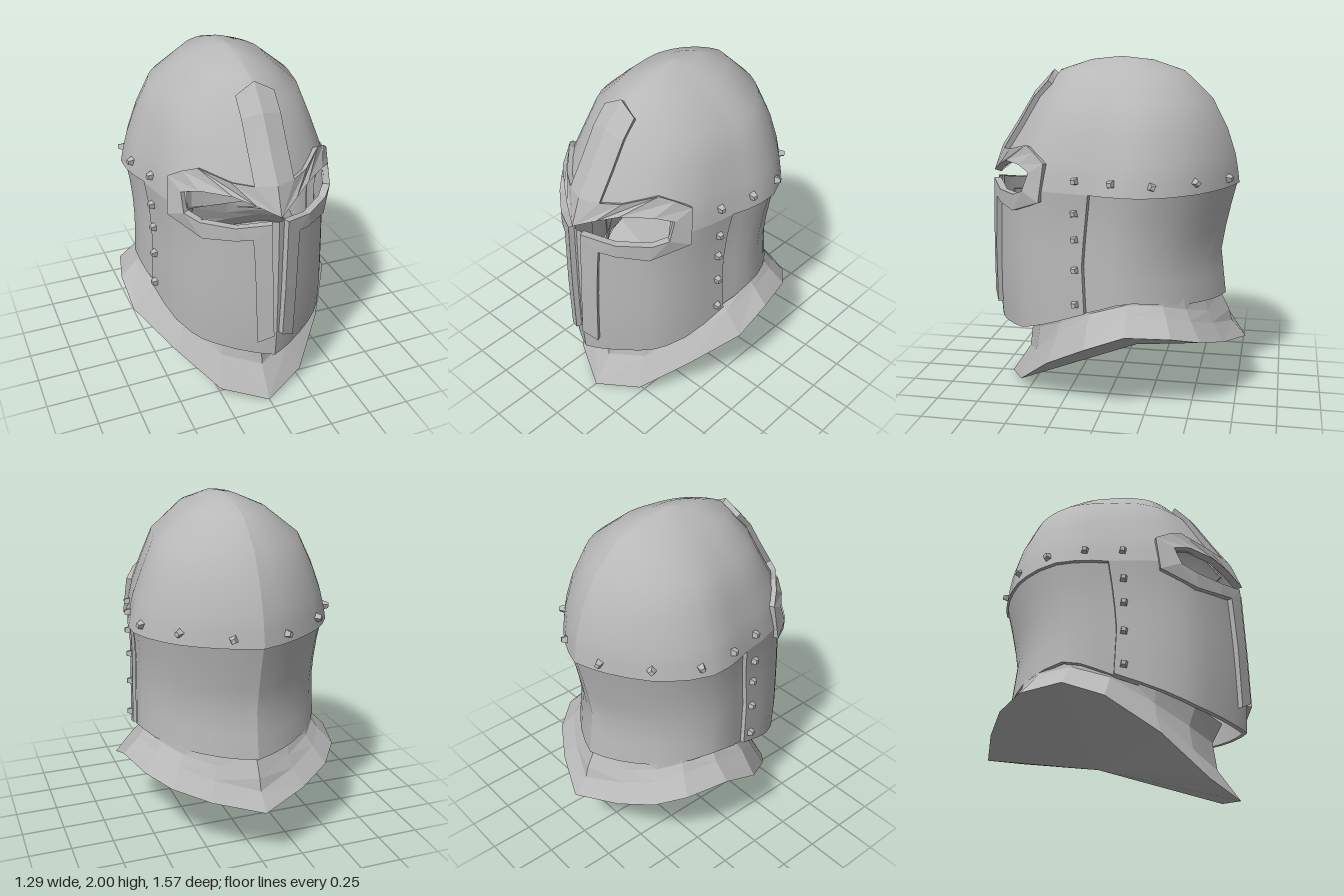
import * as THREE from 'three';

const steel = new THREE.MeshStandardMaterial({ color: 0xb8b8b8, side: THREE.DoubleSide });
steel.name = 'steel';

// Plan of one half of the helmet, front ridge to back ridge: x, z
const PLAN = [[0, .74], [.05, .72], [.1, .695], [.2, .635], [.3, .56], [.36, .505], [.41, .445],
  [.47, .335], [.505, .21], [.53, .06], [.56, -.03], [.578, -.13], [.578, -.24], [.53, -.36],
  [.47, -.45], [.4, -.53], [.3, -.605], [.2, -.665], [.1, -.71], [0, -.74]];
const LAST = PLAN.length - 1, EYE_END = 6, STEP = 9;

// Height, half width, front z, back z
const PROFILE = [[.38, .57, .735, -.70], [.6, .57, .75, -.68], [.89, .56, .745, -.645],
  [1.1, .56, .74, -.685], [1.29, .585, .735, -.73], [1.45, .545, .675, -.70], [1.6, .49, .575, -.65],
  [1.77, .415, .47, -.56], [1.92, .23, .33, -.40], [1.98, .09, .15, -.22], [2, 0, -.03, -.03]];

// Lower and upper edge of the eye slit for each plan column
const LIDS = [[1.27, 1.3], [1.262, 1.325], [1.25, 1.355], [1.232, 1.395], [1.23, 1.4],
  [1.24, 1.395], [1.27, 1.37]];
const lid = i => LIDS[i] || [1.28, 1.36];

// Bottom edge: z, y
const HEM = [[-.74, .605], [-.4, .66], [-.2, .685], [.07, .59], [.5, .435], [.74, .385]];

function lookup(table, key) {
  let i = 0;
  while (i < table.length - 2 && key > table[i + 1][0]) i++;
  const a = table[i], b = table[i + 1];
  const t = THREE.MathUtils.clamp((key - a[0]) / (b[0] - a[0]), 0, 1);
  return a.map((v, k) => v + (b[k] - v) * t);
}
const hem = i => lookup(HEM, PLAN[i][1])[1];

// Point of the shell in plan column i at height y; the plan gets rounder towards the crown
function shell(i, y, inset = 0) {
  const [, w, zf, zb] = lookup(PROFILE, y);
  let X = PLAN[i][0] / .58, Z = PLAN[i][1] / .74;
  const k = THREE.MathUtils.clamp((y - 1.3) / .7, 0, 1) * .6, a = Math.atan2(X, Z);
  X += (Math.sin(a) - X) * k;
  Z += (Math.cos(a) - Z) * k;
  const f = zf - inset, b = zb + inset * .5;
  return [X * Math.max(w - inset, 0), y, (f + b) / 2 + Z * (f - b) / 2];
}

// Depth of the front surface at x, y
function frontZ(x, y) {
  const pts = PLAN.slice(0, 12).map((_, i) => shell(i, y));
  return lookup(pts, x)[2];
}

// Point lifted off the front surface along its normal
function lifted([x, y], h) {
  const e = .02, z = frontZ(x, y);
  const nx = x < .01 ? 0 : -(frontZ(x + e, y) - frontZ(x - e, y)) / (2 * e);
  const ny = -(frontZ(x, y + e) - frontZ(x, y - e)) / (2 * e);
  const n = new THREE.Vector3(nx, ny, 1).normalize();
  return [x + n.x * h, y + n.y * h, z + n.z * h];
}

// Sheet through rows of points, built on both sides of the helmet
function sheet(group, name, rows, flat = false, skip = () => false) {
  for (const s of [1, -1]) {
    const n = rows[0].length, index = [];
    for (let r = 0; r < rows.length - 1; r++) for (let c = 0; c < n - 1; c++) {
      if (skip(r, c)) continue;
      const a = r * n + c, b = a + 1, e = a + n, d = e + 1;
      index.push(...(s > 0 ? [a, b, d, a, d, e] : [a, d, b, a, e, d]));
    }
    let g = new THREE.BufferGeometry();
    g.setAttribute('position', new THREE.Float32BufferAttribute(
      rows.flat().flatMap(p => [p[0] * s, p[1], p[2]]), 3));
    g.setIndex(index);
    if (flat) g = g.toNonIndexed();
    g.computeVertexNormals();
    const m = new THREE.Mesh(g, steel);
    m.name = (s > 0 ? 'left ' : 'right ') + name;
    group.add(m);
  }
}

const range = (a, b) => Array.from({ length: b - a + 1 }, (_, k) => a + k);
const FRACTIONS = [0, .2, .4, .6, .8, 1];
const lowerRows = (cols, inset) => FRACTIONS.map(t =>
  cols.map(i => shell(i, hem(i) + (lid(i)[0] - hem(i)) * t, inset)));

function makeShell(group) {
  const all = range(0, LAST), front = range(0, STEP), back = range(STEP - 1, LAST);

  // Face plate
  sheet(group, 'face plate', lowerRows(front, 0));

  // Crown with the eye slit left open
  const crown = [all.map(i => shell(i, lid(i)[0])), all.map(i => shell(i, lid(i)[1]))];
  for (const y of [1.45, 1.6, 1.77, 1.92, 1.98, 2]) crown.push(all.map(i => shell(i, y)));
  sheet(group, 'crown', crown, false, (r, c) => r === 0 && c < EYE_END);

  // Neck plate tucked under the crown and face plate
  sheet(group, 'neck plate', lowerRows(back, .025));

  // Plate thickness along the free edges
  sheet(group, 'face plate hem', [.03, 0].map(d => front.map(i => shell(i, hem(i), d))), true);
  sheet(group, 'neck plate hem', [.055, .025].map(d => back.map(i => shell(i, hem(i), d))), true);
  const rim = range(STEP, LAST);
  sheet(group, 'crown edge', [.03, 0].map(d => rim.map(i => shell(i, 1.28, d))), true);
  sheet(group, 'face plate edge', FRACTIONS.map(t => {
    const y = hem(STEP) + (1.28 - hem(STEP)) * t;
    return [shell(STEP, y), shell(STEP, y, .03)];
  }), true);
}

// Raised cross-shaped trim: inner and outer edge pairs from the brow bar, round the eye, to the chin
function makeTrim(group) {
  const pairs = [
    [[0, 1.9], [.1, 1.84]], [[0, 1.77], [.1, 1.75]], [[0, 1.6], [.1, 1.6]], [[0, 1.45], [.1, 1.52]],
    [[0, 1.3], [.1, 1.45]], [[.1, 1.355], [.2, 1.46]], [[.2, 1.395], [.33, 1.505]],
    [[.34, 1.4], [.39, 1.475]], [[.41, 1.37], [.445, 1.43]], [[.41, 1.27], [.465, 1.22]],
    [[.35, 1.237], [.34, 1.14]], [[.2, 1.232], [.2, 1.155]], [[.035, 1.268], [.12, 1.17]],
    [[.03, 1.05], [.113, 1.05]], [[.025, .85], [.106, .85]], [[.015, .55], [.095, .5]]];
  const edge = (k, h) => pairs.map(p => lifted(p[k], h));
  const rows = [edge(0, -.01), edge(0, .032), edge(1, .032), edge(1, -.01)];
  sheet(group, 'face trim', rows, true);
  const end = pairs.length - 1, [bi, ti, to, bo] = rows;
  sheet(group, 'trim lower end', [[bi[end], bo[end]], [ti[end], to[end]]], true);
  sheet(group, 'trim upper end', [[bo[0], bi[0]], [to[0], ti[0]]], true);
}

// Flared collar with a closed underside
function makeCollar(group) {
  const rim = [[0, 0, .68], [.26, .06, .55], [.47, .26, .33], [.64, .425, .07], [.645, .515, -.16],
    [.585, .5, -.41], [.47, .45, -.56], [.275, .39, -.68], [0, .335, -.795]];
  const flare = [[0, .18, .56], [.22, .24, .46], [.38, .4, .29], [.53, .55, .07], [.55, .61, -.16],
    [.5, .6, -.37], [.41, .55, -.5], [.24, .49, -.61], [0, .43, -.71]];
  const throat = [[0, .34, .54], [.2, .38, .44], [.35, .47, .28], [.49, .59, .06], [.51, .66, -.15],
    [.47, .65, -.35], [.38, .61, -.47], [.22, .56, -.58], [0, .5, -.69]];
  const top = [[0, .45, .6], [.2, .5, .48], [.36, .58, .29], [.48, .7, .05], [.5, .75, -.15],
    [.46, .74, -.34], [.38, .7, -.45], [.22, .66, -.54], [0, .62, -.63]];
  sheet(group, 'collar', [rim, flare, throat, top], true);
  sheet(group, 'collar underside', [rim.map(() => [0, .23, -.12]), rim], true);
}

// Small square rivets: z, y
function makeRivets(group) {
  const spots = [[.145, .645], [.145, .845], [.145, 1.02], [.145, 1.17], [.14, 1.35],
    [-.07, 1.35], [-.29, 1.34], [-.51, 1.345], [-.67, 1.33]];
  const geo = new THREE.CylinderGeometry(.017, .028, .035, 4, 1).rotateY(Math.PI / 4).toNonIndexed();
  geo.computeVertexNormals();
  for (const [z, y] of spots) {
    let i = 1;
    while (i < LAST - 1 && shell(i + 1, y)[2] > z) i++;
    const a = shell(i, y), b = shell(i + 1, y), t = (z - a[2]) / (b[2] - a[2]);
    const x = a[0] + (b[0] - a[0]) * t;
    for (const s of [1, -1]) {
      const n = new THREE.Vector3(s * (a[2] - b[2]), 0, b[0] - a[0]).normalize();
      const m = new THREE.Mesh(geo, steel);
      m.name = 'rivet';
      m.quaternion.setFromUnitVectors(new THREE.Vector3(0, 1, 0), n);
      m.position.set(s * x, y, z).addScaledVector(n, .012);
      group.add(m);
    }
  }
}

export function createModel() {
  const model = new THREE.Group();
  model.name = 'helmet';
  for (const [name, make] of [['shell', makeShell], ['trim', makeTrim],
    ['collar', makeCollar], ['rivets', makeRivets]]) {
    const g = new THREE.Group();
    g.name = name;
    make(g);
    model.add(g);
  }
  return model;
}
